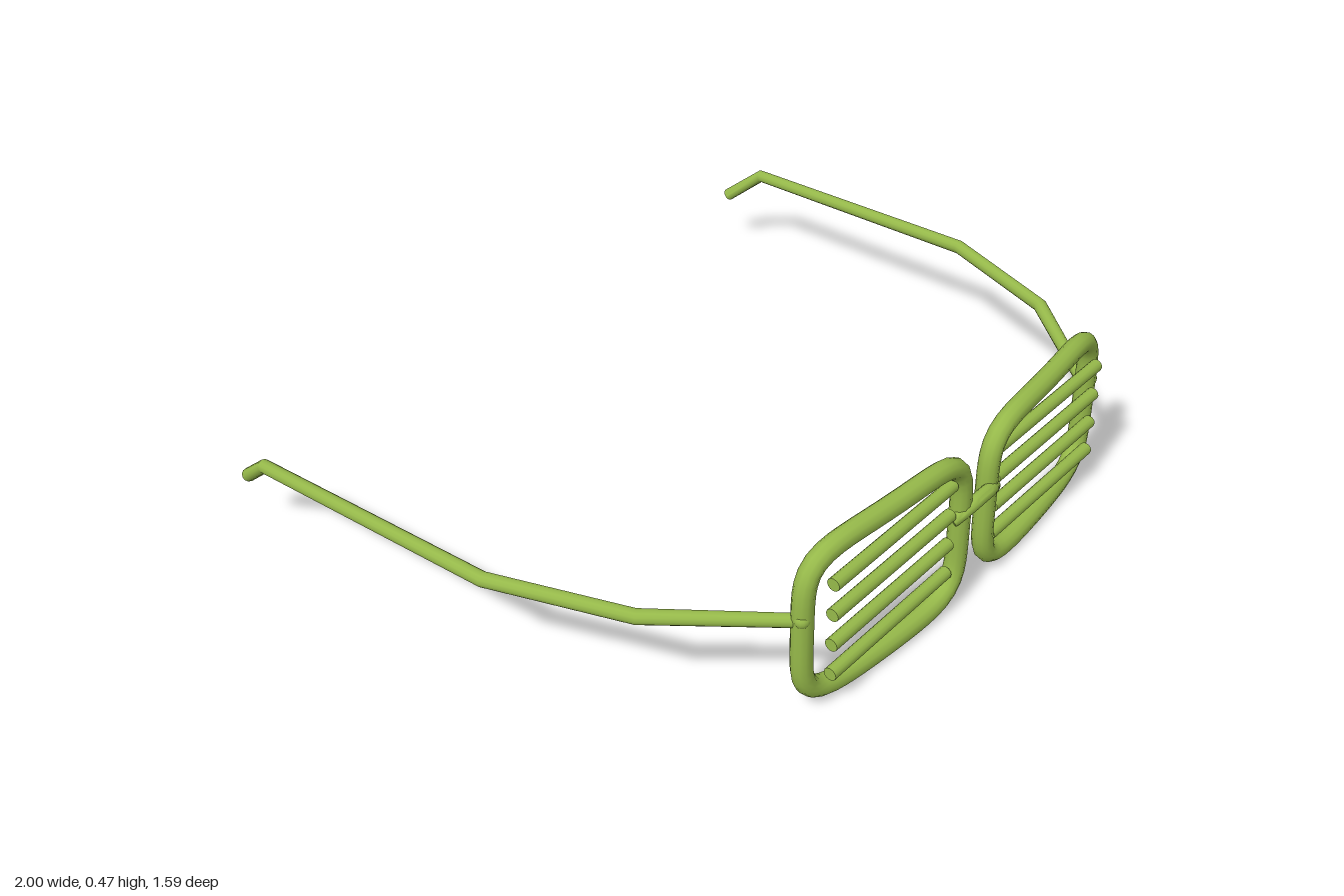
import * as THREE from 'three';
import { toCreasedNormals } from 'three/addons/utils/BufferGeometryUtils.js';

const SIDES = 12;
const material = new THREE.MeshStandardMaterial({ color: 0x96b94a });
const V = (x, y, z) => new THREE.Vector3(x, y, z);

// Round rod swept along a polyline; radii is one number or one per point
function sweep(points, radii, ref, closed = false) {
  const count = points.length;
  const pos = [], index = [];
  points.forEach((p, i) => {
    const prev = points[closed ? (i - 1 + count) % count : Math.max(i - 1, 0)];
    const next = points[closed ? (i + 1) % count : Math.min(i + 1, count - 1)];
    const before = p.clone().sub(prev).normalize();
    const after = next.clone().sub(p).normalize();
    const t = before.add(after).normalize();
    const b = t.clone().cross(ref).normalize();
    const n = b.clone().cross(t);
    const r = Array.isArray(radii) ? radii[i] : radii;
    for (let j = 0; j < SIDES; j++) {
      const a = (j / SIDES) * Math.PI * 2;
      const q = p.clone().addScaledVector(n, r * Math.cos(a)).addScaledVector(b, r * Math.sin(a));
      pos.push(q.x, q.y, q.z);
    }
  });
  const spans = closed ? count : count - 1;
  for (let i = 0; i < spans; i++) {
    for (let j = 0; j < SIDES; j++) {
      const k = (j + 1) % SIDES, m = ((i + 1) % count) * SIDES;
      const a = i * SIDES + j, b = i * SIDES + k, c = m + j, d = m + k;
      index.push(a, b, c, b, d, c);
    }
  }
  // End caps
  if (!closed) {
    const last = (count - 1) * SIDES;
    for (let j = 1; j < SIDES - 1; j++) {
      index.push(0, j + 1, j, last, last + j, last + j + 1);
    }
  }
  const g = new THREE.BufferGeometry();
  g.setAttribute('position', new THREE.Float32BufferAttribute(pos, 3));
  g.setIndex(index);
  return toCreasedNormals(g, 0.7);
}

export function createModel() {
  const model = new THREE.Group();
  model.name = 'shutterGlasses';
  const add = (name, geometry, parent = model) => {
    const mesh = new THREE.Mesh(geometry, material);
    mesh.name = name;
    parent.add(mesh);
    return mesh;
  };

  for (const [side, s] of [['left', 1], ['right', -1]]) {
    // Rounded-square rim, bowed back towards the temples
    const rim = [];
    for (let i = 0; i < 64; i++) {
      const a = (i / 64) * Math.PI * 2, c = Math.cos(a), d = Math.sin(a);
      const r = (Math.abs(c) ** 5 + Math.abs(d) ** 5) ** (-1 / 5);
      const x = 0.331 + 0.274 * r * c;
      rim.push(V(s * x, 0.236 + 0.208 * r * d, 0.753 - 0.14 * x * x));
    }
    add(side + 'Rim', sweep(rim, 0.027, V(0, 0, 1), true));

    // Horizontal slats
    const slats = new THREE.Group();
    slats.name = side + 'Slats';
    model.add(slats);
    for (let i = 0; i < 4; i++) {
      const slat = add('slat', new THREE.CylinderGeometry(0.017, 0.017, 0.465, SIDES), slats);
      slat.rotation.z = Math.PI / 2;
      slat.position.set(s * 0.328, 0.108 + i * 0.0873, 0.75);
    }

    // Hinge knob on the outer edge of the rim
    const hinge = add(side + 'Hinge', new THREE.SphereGeometry(0.02, 14, 10));
    hinge.position.set(s * 0.615, 0.283, 0.708);

    // Temple arm with its bent ear tip
    const arm = [
      V(0.605, 0.27, 0.7), V(0.84, 0.286, 0.42), V(0.965, 0.288, 0.07),
      V(0.98, 0.264, -0.675), V(0.955, 0.172, -0.785),
    ].map((p) => V(s * p.x, p.y, p.z));
    add(side + 'Temple', sweep(arm, [0.017, 0.019, 0.019, 0.018, 0.018], V(0, 1, 0)));
  }

  // Arched nose bridge
  const bridge = new THREE.CatmullRomCurve3([
    V(-0.09, 0.262, 0.752), V(-0.045, 0.287, 0.771), V(0, 0.292, 0.774),
    V(0.045, 0.287, 0.771), V(0.09, 0.262, 0.752),
  ]).getPoints(16);
  add('bridge', sweep(bridge, 0.018, V(0, 0, 1)));
  return model;
}
